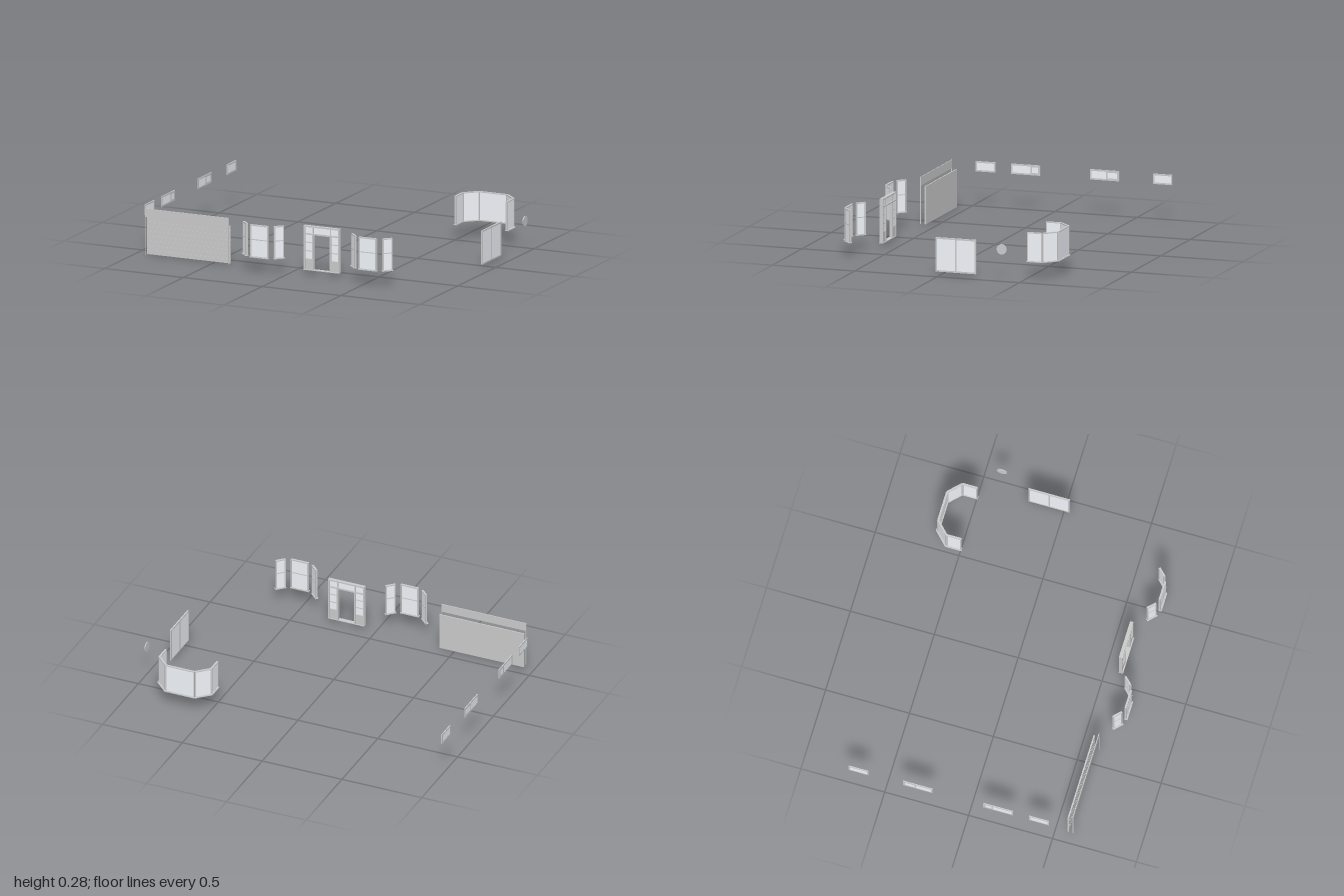
import * as THREE from 'three';

const frameMat = new THREE.MeshStandardMaterial({ color: 0xcccccc });
const glassMat = new THREE.MeshStandardMaterial({ color: 0xf2f6fc });

function box(parent, name, w, h, d, x, y, z, mat = frameMat) {
  const mesh = new THREE.Mesh(new THREE.BoxGeometry(w, h, d), mat);
  mesh.name = name;
  mesh.position.set(x, y, z);
  parent.add(mesh);
  return mesh;
}

// Rectangular frame with an open middle, centred on x, based on y = 0
function frame(parent, name, w, h, t, d, x = 0, y = 0, z = 0) {
  const s = new THREE.Shape();
  s.moveTo(-w / 2, 0).lineTo(w / 2, 0).lineTo(w / 2, h).lineTo(-w / 2, h).closePath();
  const hole = new THREE.Path();
  hole.moveTo(-w / 2 + t, t).lineTo(-w / 2 + t, h - t).lineTo(w / 2 - t, h - t).lineTo(w / 2 - t, t).closePath();
  s.holes.push(hole);
  const mesh = new THREE.Mesh(new THREE.ExtrudeGeometry(s, { depth: d, bevelEnabled: false }), frameMat);
  mesh.name = name;
  mesh.position.set(x, y, z - d / 2);
  parent.add(mesh);
}

// Window along a plan segment a -> b, facing to the outside
function windowUnit(parent, name, a, b, y, h, { t = 0.007, d = 0.012, rail, mullion, sash, sill } = {}) {
  const dx = b[0] - a[0], dz = b[1] - a[1], w = Math.hypot(dx, dz);
  const g = new THREE.Group();
  g.name = name;
  g.position.set((a[0] + b[0]) / 2, y, (a[1] + b[1]) / 2);
  g.rotation.y = -Math.atan2(dz, dx);
  frame(g, 'windowFrame', w, h, t, d);
  box(g, 'glass', w - 2 * t, h - 2 * t, d * 0.4, 0, h / 2, 0, glassMat);
  if (rail) box(g, 'rail', w - 2 * t, 0.005, d * 0.8, 0, rail, 0);
  if (mullion !== undefined) box(g, 'mullion', t, h - 2 * t, d * 0.9, mullion, h / 2, 0);
  if (sash) frame(g, 'slidingSash', sash, h - t, t, d * 0.9, (sash - w) / 2 + t / 2, t / 2, 0);
  if (sill) box(g, 'sill', w + 0.006, 0.005, d + 0.008, 0, 0.0025, 0.002);
  parent.add(g);
}

export function createModel() {
  const model = new THREE.Group();
  model.name = 'houseOpenings';

  // Garage door with slats, header board and slim side trims
  const garage = new THREE.Group();
  garage.name = 'garageDoor';
  garage.position.x = -0.67;
  box(garage, 'doorPanel', 0.53, 0.222, 0.006, 0, 0.111, 0.573);
  const rows = 8, step = 0.222 / rows;
  for (let i = 0; i < rows; i++) {
    box(garage, 'slat', 0.526, step - 0.004, 0.003, 0, (i + 0.5) * step, 0.577);
  }
  box(garage, 'headerBoard', 0.53, 0.05, 0.004, 0, 0.249, 0.603);
  for (const s of [-1, 1]) box(garage, 'sideTrim', 0.002, 0.224, 0.004, s * 0.264, 0.112, 0.603);
  model.add(garage);

  // Two angled front window groups
  for (const cx of [-0.16, 0.529]) {
    const bay = new THREE.Group();
    bay.name = 'frontBayWindow';
    const opts = { rail: 0.105, sill: true };
    windowUnit(bay, 'centreWindow', [cx - 0.056, 0.704], [cx + 0.056, 0.704], 0.087, 0.192, opts);
    windowUnit(bay, 'rightCasement', [cx - 0.128, 0.649], [cx - 0.085, 0.692], 0.087, 0.192, opts);
    windowUnit(bay, 'leftCasement', [cx + 0.085, 0.692], [cx + 0.128, 0.649], 0.087, 0.192, opts);
    model.add(bay);
  }

  // Entrance surround: open doorway, side lights and transom
  const entry = new THREE.Group();
  entry.name = 'entranceSurround';
  entry.position.set(0.183, 0.02, 0.59);
  box(entry, 'threshold', 0.228, 0.004, 0.026, 0, 0.002, 0.002);
  box(entry, 'topRail', 0.228, 0.008, 0.02, 0, 0.256, 0);
  box(entry, 'transomRail', 0.228, 0.008, 0.02, 0, 0.212, 0);
  box(entry, 'transomGlass', 0.216, 0.036, 0.006, 0, 0.234, 0, glassMat);
  for (const s of [-1, 1]) {
    box(entry, 'outerPost', 0.01, 0.26, 0.02, s * 0.109, 0.13, 0);
    box(entry, 'doorPost', 0.01, 0.208, 0.02, s * 0.055, 0.104, 0);
    box(entry, 'transomMullion', 0.006, 0.036, 0.014, s * 0.055, 0.234, 0);
    box(entry, 'lowerPanel', 0.044, 0.066, 0.014, s * 0.082, 0.033, 0);
    box(entry, 'sideLight', 0.044, 0.142, 0.006, s * 0.082, 0.137, 0, glassMat);
    for (const y of [0.112, 0.162]) box(entry, 'glazingBar', 0.044, 0.005, 0.012, s * 0.082, y, 0);
  }
  model.add(entry);

  // Five-sided bay at the back
  const backBay = new THREE.Group();
  backBay.name = 'backBayWindow';
  const plan = [[0.833, -0.488], [0.833, -0.578], [0.761, -0.648], [0.581, -0.648], [0.509, -0.578], [0.509, -0.488]];
  for (let i = 0; i < 5; i++) {
    windowUnit(backBay, 'bayPane', plan[i], plan[i + 1], 0.09, 0.173, { t: 0.006, sill: true });
  }
  model.add(backBay);

  // Sliding patio door and round window on the left wall
  windowUnit(model, 'patioDoor', [0.928, 0.035], [0.928, -0.212], 0.016, 0.2, { t: 0.009, d: 0.009, mullion: 0 });
  const round = new THREE.Mesh(new THREE.CylinderGeometry(0.03, 0.03, 0.005, 32), frameMat);
  round.name = 'roundWindow';
  round.rotation.z = Math.PI / 2;
  round.position.set(0.996, 0.186, -0.391);
  model.add(round);

  // High windows on the right wall; the longer pair have a sliding sash
  for (const [z0, z1, sash] of [[-0.715, -0.597], [-0.392, -0.215, 0.075], [0.087, 0.264, 0.055], [0.359, 0.479]]) {
    windowUnit(model, 'highWindow', [-0.997, z0], [-0.997, z1], 0.203, 0.06, { t: 0.009, d: 0.006, sash });
  }
  return model;
}
